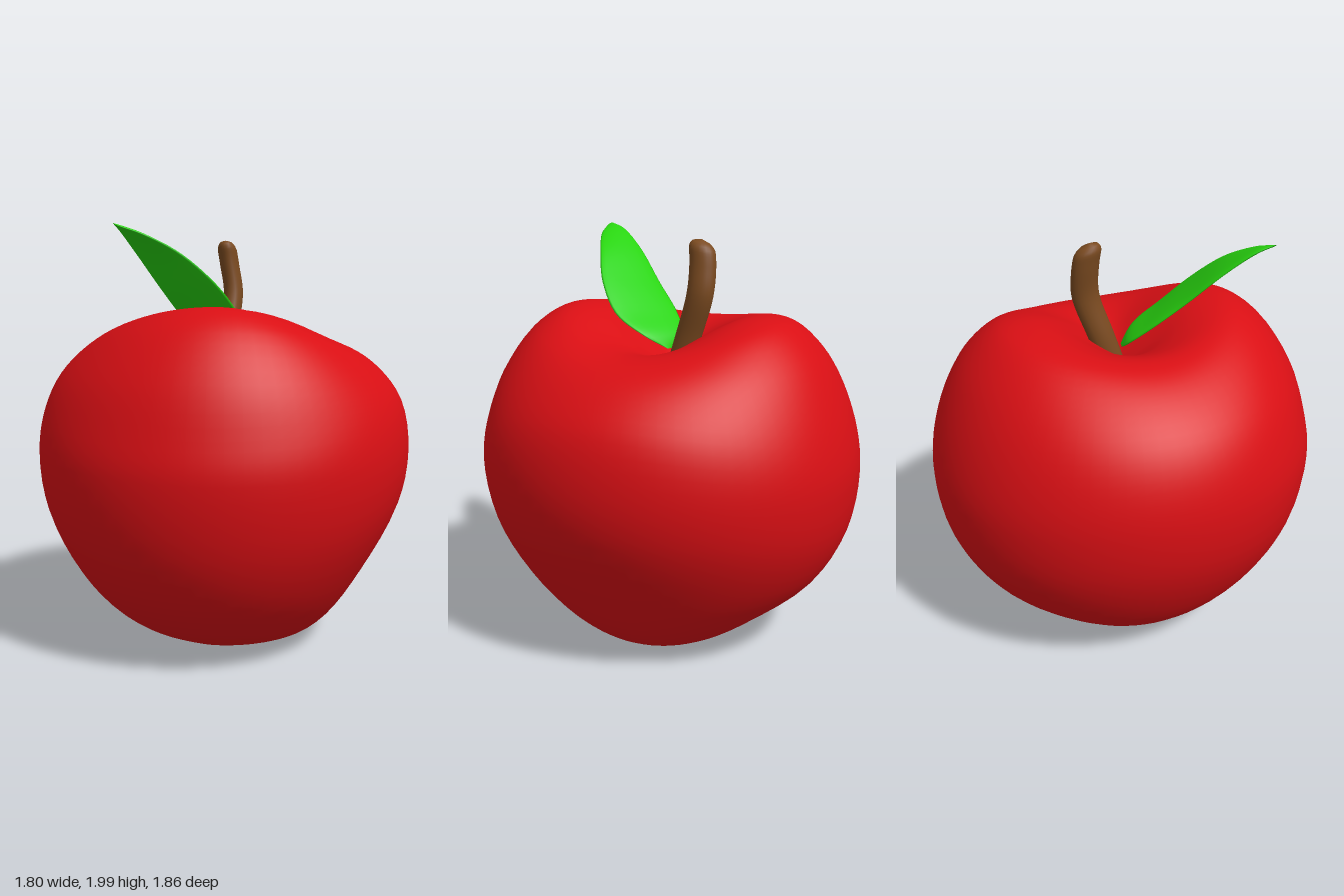
import * as THREE from 'three';

// Closed skin over rings of points; rings run upward, points wrap round.
function loft(rings) {
  const n = rings[0].length, pos = [], index = [];
  rings.forEach(ring => ring.forEach(p => pos.push(p.x, p.y, p.z)));
  for (let i = 0; i < rings.length - 1; i++) {
    for (let j = 0; j < n; j++) {
      const a = i * n + j, b = i * n + (j + 1) % n;
      index.push(a, a + n, b, b, a + n, b + n);
    }
  }
  const geo = new THREE.BufferGeometry();
  geo.setAttribute('position', new THREE.Float32BufferAttribute(pos, 3));
  geo.setIndex(index);
  geo.computeVertexNormals();
  return geo;
}

function part(name, geo, color) {
  const mesh = new THREE.Mesh(geo, new THREE.MeshStandardMaterial({ color }));
  mesh.name = name;
  return mesh;
}

// Smooth curve through [x, y, z] points.
const curve = pts => new THREE.CatmullRomCurve3(pts.map(p => new THREE.Vector3(...p)));

// Half outlines (radius, height) from the bottom dimple to the stem cavity.
const outline = pts => curve(pts.map(([r, y]) => [r, y, 0]));
const left = outline([[0, 0.12], [0.11, 0.07], [0.25, 0.005], [0.41, 0.045], [0.54, 0.15], [0.7, 0.39], [0.86, 0.71],
  [0.9, 0.95], [0.86, 1.19], [0.75, 1.34], [0.62, 1.43], [0.48, 1.465], [0.34, 1.455], [0.2, 1.42], [0.1, 1.39], [0, 1.37]]);
const front = outline([[0, 0.12], [0.13, 0.07], [0.28, 0.02], [0.4, 0.06], [0.56, 0.15], [0.75, 0.34], [0.88, 0.6],
  [0.93, 0.92], [0.9, 1.1], [0.83, 1.32], [0.69, 1.53], [0.56, 1.62], [0.46, 1.635], [0.32, 1.6], [0.15, 1.49], [0, 1.37]]);
const right = outline([[0, 0.12], [0.12, 0.08], [0.22, 0.05], [0.39, 0.07], [0.575, 0.19], [0.735, 0.39], [0.87, 0.68],
  [0.905, 0.95], [0.87, 1.16], [0.79, 1.32], [0.655, 1.45], [0.52, 1.525], [0.4, 1.54], [0.25, 1.49], [0.12, 1.42], [0, 1.37]]);
const back = outline([[0, 0.12], [0.12, 0.06], [0.23, 0.005], [0.39, 0.07], [0.55, 0.18], [0.76, 0.36], [0.89, 0.6],
  [0.93, 0.86], [0.91, 1.05], [0.84, 1.27], [0.74, 1.45], [0.6, 1.58], [0.47, 1.61], [0.34, 1.59], [0.18, 1.5], [0, 1.37]]);

// Fruit body: blends the four outlines round the axis.
function bodyGeometry() {
  const rings = [], rows = 60, sides = 72;
  for (let i = 0; i <= rows; i++) {
    const [l, f, r, b] = [left, front, right, back].map(c => c.getPoint(i / rows));
    const ring = [];
    for (let j = 0; j < sides; j++) {
      const t = j / sides * Math.PI * 2, c = Math.cos(t), s = Math.sin(t);
      const p = (c > 0 ? l : r).clone().lerp(s > 0 ? f : b, s * s);
      ring.push(new THREE.Vector3(p.x * c, p.y, p.x * s));
    }
    rings.push(ring);
  }
  return loft(rings);
}

// Stem: oval sections along a bent path, with a rounded slanting tip.
function stemGeometry() {
  const path = curve([[0, 1.34, -0.04], [0.01, 1.5, -0.095], [0.03, 1.7, -0.16], [0.01, 1.84, -0.165], [-0.008, 1.955, -0.15]]);
  const rings = [];
  for (let i = 0; i <= 32; i++) {
    const s = i / 32, c = path.getPoint(s);
    const size = Math.sqrt(Math.max(0, 1 - Math.max(0, (s - 0.88) / 0.12) ** 2));
    const ring = [];
    for (let j = 0; j < 20; j++) {
      const t = j / 20 * Math.PI * 2, z = 0.065 * size * Math.sin(t);
      ring.push(new THREE.Vector3(c.x + 0.048 * size * Math.cos(t), c.y + z * 0.25 * s, c.z + z));
    }
    rings.push(ring);
  }
  return loft(rings);
}

// Leaf: thin lens sections between its two edges, from base to tip.
function leafGeometry() {
  const edgeA = curve([[-0.02, 1.43, 0], [-0.12, 1.49, -0.01], [-0.2, 1.58, 0.06], [-0.28, 1.71, 0.19], [-0.37, 1.87, 0.34], [-0.42, 1.965, 0.46], [-0.435, 1.995, 0.54]]);
  const edgeB = curve([[0.02, 1.43, 0.01], [0.09, 1.5, 0.11], [0.09, 1.59, 0.25], [0, 1.73, 0.37], [-0.15, 1.865, 0.46], [-0.3, 1.945, 0.53], [-0.42, 1.985, 0.555]]);
  const up = new THREE.Vector3(0.08, 0.14, -0.126).normalize();
  const rings = [];
  for (let i = 0; i <= 32; i++) {
    const s = i / 32, a = edgeA.getPoint(s), b = edgeB.getPoint(s);
    const thick = 0.018 * Math.sqrt(Math.sin(Math.PI * s) + 1e-6);
    const ring = [];
    for (let j = 0; j < 20; j++) {
      const t = j / 20 * Math.PI * 2;
      ring.push(a.clone().lerp(b, (1 - Math.cos(t)) / 2).addScaledVector(up, thick * Math.sin(t)));
    }
    rings.push(ring);
  }
  return loft(rings);
}

export function createModel() {
  const model = new THREE.Group();
  model.name = 'apple';
  model.add(
    part('body', bodyGeometry(), 0xd90f14),
    part('stem', stemGeometry(), 0x7a4a20),
    part('leaf', leafGeometry(), 0x28d40f),
  );
  return model;
}
